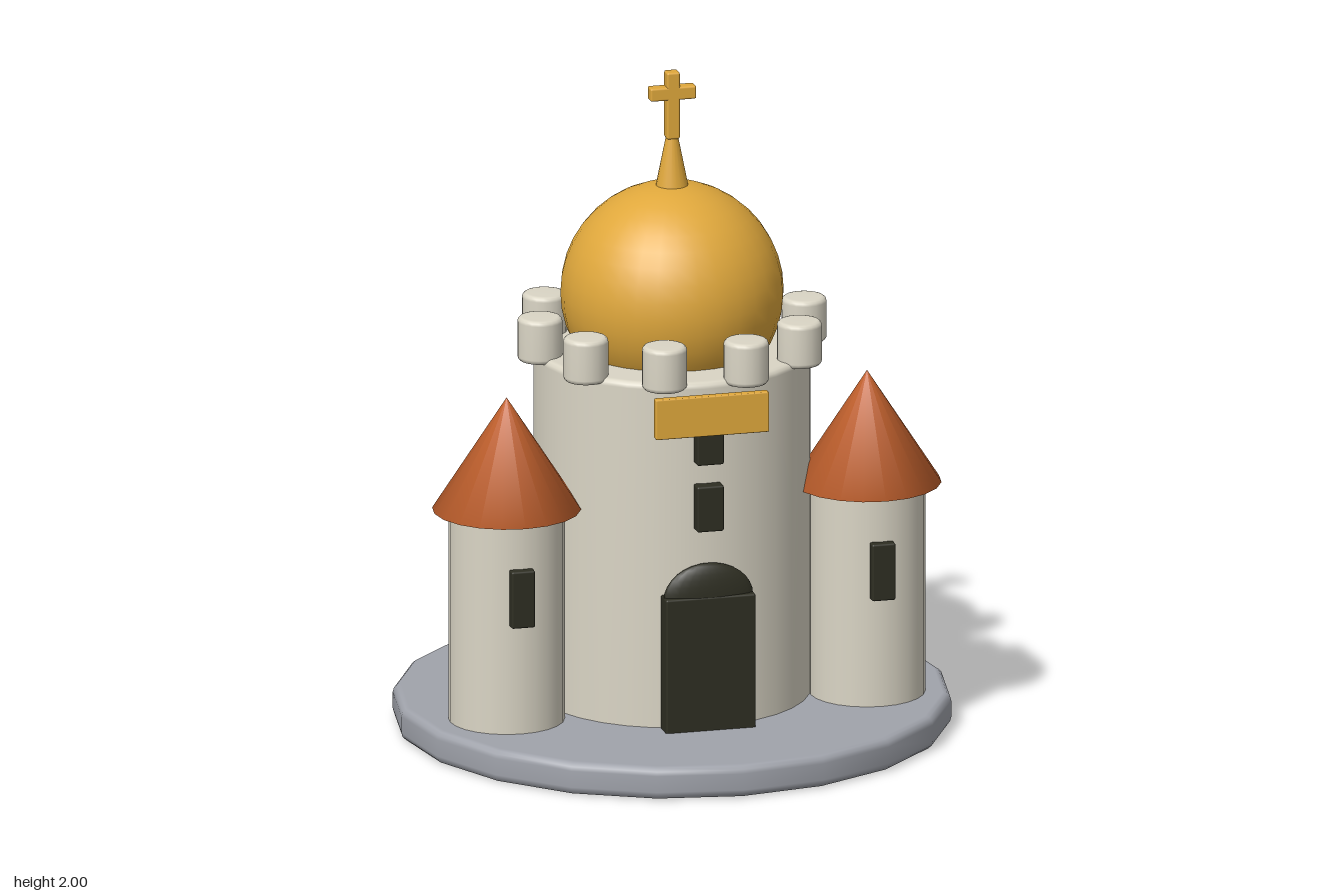
import * as THREE from 'three';
import { RoundedBoxGeometry } from 'three/addons/geometries/RoundedBoxGeometry.js';

const material = (name, color) => {
  const m = new THREE.MeshStandardMaterial({ color });
  m.name = name;
  return m;
};

export function createModel() {
  const stone = material('cream stone', 0xdad5c5);
  const gold = material('gold', 0xe0a83c);
  const tile = material('terracotta tile', 0xc4622e);
  const dark = material('dark opening', 0x2e2e22);
  const slate = material('grey base', 0xa0a3ab);

  const model = new THREE.Group();
  model.name = 'castle';

  function add(parent, name, geometry, mat, x = 0, y = 0, z = 0) {
    const mesh = new THREE.Mesh(geometry, mat);
    mesh.name = name;
    mesh.position.set(x, y, z);
    parent.add(mesh);
    return mesh;
  }

  // Upright drum with rounded rims, standing on its local y = 0
  function drum(radius, height, bevel, sides) {
    const pts = [new THREE.Vector2(0, 0)];
    for (const [cy, start] of [[bevel, -90], [height - bevel, 0]]) {
      for (let i = 0; i <= 3; i++) {
        const a = THREE.MathUtils.degToRad(start + i * 30);
        pts.push(new THREE.Vector2(radius - bevel + bevel * Math.cos(a), cy + bevel * Math.sin(a)));
      }
    }
    pts.push(new THREE.Vector2(0, height));
    return new THREE.LatheGeometry(pts, sides);
  }

  // Box given by its lower and upper corners
  function block(parent, name, mat, lo, hi, round = 0.006) {
    const size = hi.map((v, i) => v - lo[i]);
    const mid = hi.map((v, i) => (v + lo[i]) / 2);
    return add(parent, name, new RoundedBoxGeometry(...size, 2, round), mat, ...mid);
  }

  // Base and keep
  add(model, 'base', drum(0.825, 0.1, 0.025, 20), slate);
  add(model, 'keep', drum(0.41, 1.08, 0.02, 32), stone, 0, 0.08, 0);

  // Ring of round battlements
  const battlements = new THREE.Group();
  battlements.name = 'battlements';
  model.add(battlements);
  const merlon = drum(0.067, 0.135, 0.015, 20);
  for (let i = 0; i < 10; i++) {
    const a = (i / 10) * Math.PI * 2;
    add(battlements, 'battlement', merlon, stone, Math.cos(a) * 0.403, 1.142, Math.sin(a) * 0.403);
  }

  // Dome, spire and cross
  add(model, 'dome', new THREE.SphereGeometry(0.33, 32, 20), gold, 0, 1.325, 0);
  add(model, 'spire', new THREE.CylinderGeometry(0.012, 0.05, 0.19, 20), gold, 0, 1.735, 0);
  const cross = new THREE.Group();
  cross.name = 'cross';
  model.add(cross);
  block(cross, 'crossPost', gold, [-0.02, 1.795, -0.02], [0.02, 2, 0.02]);
  block(cross, 'crossBar', gold, [-0.07, 1.915, -0.02], [0.07, 1.955, 0.02]);

  // Arched door
  block(model, 'door', dark, [-0.137, 0.09, 0.385], [0.137, 0.51, 0.45]);
  const arch = add(model, 'doorArch', new THREE.SphereGeometry(1, 24, 16), dark, 0, 0.5, 0.417);
  arch.scale.set(0.137, 0.107, 0.032);

  // Keep windows and the panel above them
  for (const y of [0.71, 0.915]) {
    block(model, 'keepWindow', dark, [-0.041, y, 0.395], [0.041, y + 0.14, 0.447]);
  }
  block(model, 'frontPanel', gold, [-0.173, 1.012, 0.443], [0.173, 1.135, 0.47], 0.004);

  // Side towers with conical roofs
  const roof = new THREE.LatheGeometry(
    [[0, 0], [0.22, 0], [0, 0.342]].map(([x, y]) => new THREE.Vector2(x, y)), 20);
  for (const side of [-1, 1]) {
    const tower = new THREE.Group();
    tower.name = side > 0 ? 'leftTower' : 'rightTower';
    tower.position.set(side * 0.55, 0, 0.17);
    model.add(tower);
    add(tower, 'towerWall', drum(0.172, 0.68, 0.008, 24), stone, 0, 0.08, 0);
    add(tower, 'towerRoof', roof, tile, 0, 0.745, 0);
    block(tower, 'towerWindow', dark, [-0.036, 0.432, 0.155], [0.036, 0.607, 0.197]);
  }

  return model;
}
